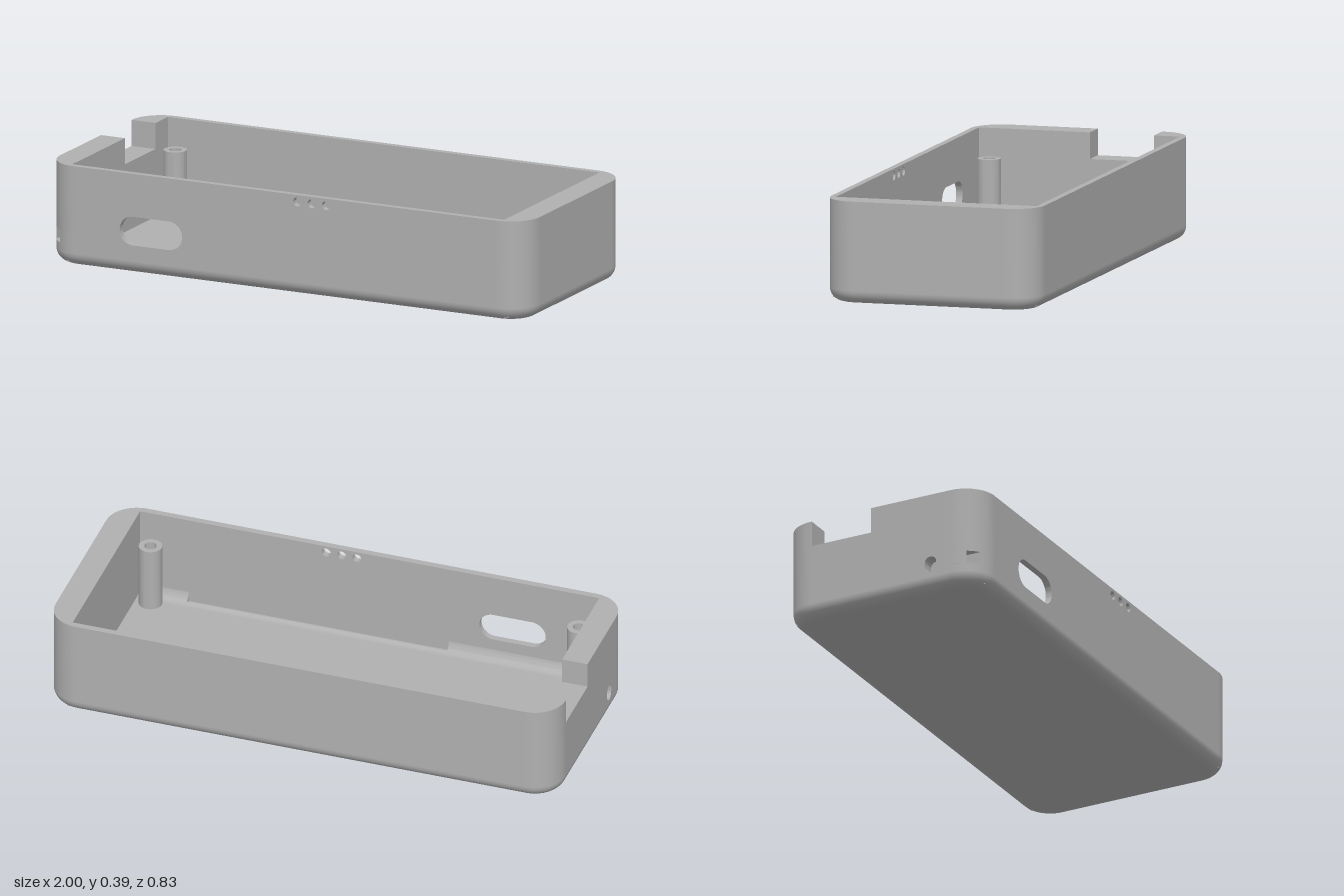
import * as THREE from 'three';
import { toCreasedNormals } from 'three/addons/utils/BufferGeometryUtils.js';

const L = 1, W = 0.415, H = 0.385;      // half length, half width, height
const R = 0.12, F = 0.05;               // corner radius, bottom edge radius
const IX = 0.9, IZ = 0.39, FLOOR = 0.025; // inner half sizes, floor level
const CX = L - R, CZ = W - R;           // corner centres

export function createModel() {
  const model = new THREE.Group();
  model.name = 'enclosureBase';
  const grey = new THREE.MeshStandardMaterial({ color: 0xb0b0b0 });
  grey.name = 'grey plastic';

  const add = (name, geo) => {
    const mesh = new THREE.Mesh(geo, grey);
    mesh.name = name;
    model.add(mesh);
    return mesh;
  };
  const extrude = (shape, depth) => toCreasedNormals(
    new THREE.ExtrudeGeometry(shape, { depth, bevelEnabled: false, curveSegments: 20 }), 0.6);
  const box = (name, x0, x1, y0, y1, z0, z1) => add(name,
    new THREE.BoxGeometry(x1 - x0, y1 - y0, z1 - z0)
      .translate((x0 + x1) / 2, (y0 + y1) / 2, (z0 + z1) / 2));
  const polygon = (pts) => new THREE.Shape(pts.map(([x, y]) => new THREE.Vector2(x, y)));
  const circle = (x, y, r) => new THREE.Path().absarc(x, y, r, 0, Math.PI * 2, true);
  // Stadium hole: half is the distance from the centre to each arc centre
  const stadium = (x, y, half, r, turned) => {
    const p = new THREE.Path();
    if (turned) {
      p.absarc(x, y + half, r, 0, Math.PI, false);
      p.absarc(x, y - half, r, Math.PI, Math.PI * 2, false);
    } else {
      p.absarc(x + half, y, r, -Math.PI / 2, Math.PI / 2, false);
      p.absarc(x - half, y, r, Math.PI / 2, Math.PI * 1.5, false);
    }
    p.closePath();
    return p;
  };

  // Long walls, the front one with the port and three small holes
  const longWall = () => polygon([[-CX, F], [CX, F], [CX, H], [-CX, H]]);
  const front = longWall();
  front.holes.push(stadium(-0.56, 0.165, 0.075, 0.055));
  for (const x of [0.05, 0.11, 0.17]) front.holes.push(circle(x, 0.358, 0.017));
  add('frontWall', extrude(front, W - IZ).translate(0, 0, IZ));
  add('backWall', extrude(longWall(), W - IZ).translate(0, 0, -W));

  // End walls; shape coordinates are (-z, y)
  const plainEnd = polygon([[-CZ, F], [CZ, F], [CZ, H], [-CZ, H]]);
  add('leftEndWall', extrude(plainEnd, L - IX).rotateY(Math.PI / 2).translate(IX, 0, 0));
  const notchedEnd = polygon([[-CZ, F], [CZ, F], [CZ, H], [0.29, H], [0.29, H - 0.1],
    [0.04, H - 0.1], [0.04, H], [-CZ, H]]);
  notchedEnd.holes.push(stadium(-0.21, 0.1, 0.008, 0.024, true));
  add('rightEndWall', extrude(notchedEnd, L - IX).rotateY(Math.PI / 2).translate(-L, 0, 0));
  box('strapHoleBack', -0.95, -IX, 0.06, 0.14, 0.17, 0.25);

  // Rounded corner posts of the wall, extruded upwards from a plan outline
  const arc = (a0, a1, n = 16) => Array.from({ length: n + 1 }, (_, i) => {
    const a = a0 + (a1 - a0) * i / n;
    return [CX + R * Math.cos(a), CZ + R * Math.sin(a)];
  });
  const corner = (name, pts, sx, sz, y0, y1) => add(name,
    extrude(polygon(pts.map(([x, z]) => [sx * x, -sz * z])), y1 - y0)
      .rotateX(-Math.PI / 2).translate(0, y0, 0));
  const inner = [[CX, IZ], [IX, IZ], [IX, CZ]];
  const full = [...arc(0, Math.PI / 2), ...inner];
  for (const [sx, sz] of [[1, 1], [1, -1], [-1, -1]]) corner('wallCorner', full, sx, sz, F, H);

  // Front right corner carries the strap slot
  const aOut = Math.acos((0.985 - CX) / R), aIn = Math.acos((0.95 - CX) / R);
  corner('wallCornerLower', full, -1, 1, F, 0.08);
  corner('wallCornerUpper', full, -1, 1, 0.13, H);
  corner('strapBar', [...arc(0, aOut), [0.985, CZ]], -1, 1, 0.08, 0.13);
  corner('strapSlotInside', [...arc(aIn, Math.PI / 2), ...inner, [0.95, CZ]], -1, 1, 0.08, 0.13);

  // Rounded underside
  add('underside', undersideGeometry());

  // Floor and the lower edge of the inside walls
  box('floor', -0.92, 0.92, 0.012, FLOOR, -0.395, 0.395);
  for (const s of [-1, 1]) {
    const a = s * IX, b = s * 0.94;
    box('endFoot', Math.min(a, b), Math.max(a, b), 0.01, F + 0.002, -0.37, 0.37);
    const c = s * IZ, d = s * 0.4;
    box('sideFoot', -IX, IX, 0.018, F + 0.002, Math.min(c, d), Math.max(c, d));
  }

  // Concave fillets along the long walls, cut short by a narrow slot
  const r = 0.04;
  const fillet = (zEnd) => {
    const pts = [];
    for (let i = 0; i <= 10; i++) {
      const z = IZ - r + (zEnd - IZ + r) * i / 10;
      pts.push([z, FLOOR + r - Math.sqrt(Math.max(0, r * r - (z - IZ + r) ** 2))]);
    }
    return [...pts, [zEnd, 0.02], [IZ - r, 0.02]];
  };
  for (const s of [-1, 1]) {
    for (const [x0, x1, zEnd] of [[-IX, -0.31, IZ], [-0.31, 0.71, 0.373], [0.71, IX, IZ]]) {
      const shape = polygon(fillet(zEnd).map(([z, y]) => [-s * z, y]));
      add('floorFillet', extrude(shape, x1 - x0).rotateY(Math.PI / 2).translate(x0, 0, 0));
    }
  }

  // Screw posts
  for (const x of [-0.84, 0.84]) for (const z of [-0.333, 0.333]) {
    const ring = new THREE.Shape().absarc(0, 0, 0.044, 0, Math.PI * 2, false);
    ring.holes.push(circle(0, 0, 0.023));
    add('screwPost', extrude(ring, 0.28 - 0.02).rotateX(-Math.PI / 2).translate(x, 0.02, z));
  }
  return model;
}

// Rounded rectangle loops that shrink towards the flat bottom
function undersideGeometry() {
  const pos = [], nor = [], index = [], rows = 10, seg = 16, n = 4 * (seg + 1);
  for (let j = 0; j <= rows; j++) {
    const t = (j / rows) * Math.PI / 2;
    const rad = R - F + F * Math.cos(t), y = F - F * Math.sin(t);
    for (let q = 0; q < 4; q++) for (let i = 0; i <= seg; i++) {
      const a = (q + i / seg) * Math.PI / 2, c = Math.cos(a), s = Math.sin(a);
      const sx = q === 0 || q === 3 ? 1 : -1, sz = q < 2 ? 1 : -1;
      pos.push(sx * CX + rad * c, y, sz * CZ + rad * s);
      nor.push(c * Math.cos(t), -Math.sin(t), s * Math.cos(t));
    }
  }
  for (let j = 0; j < rows; j++) for (let i = 0; i < n; i++) {
    const a = j * n + i, b = j * n + (i + 1) % n;
    index.push(a, b, a + n, b, b + n, a + n);
  }
  // Flat bottom
  const centre = pos.length / 3;
  pos.push(0, 0, 0);
  nor.push(0, -1, 0);
  for (let i = 0; i < n; i++) index.push(centre, rows * n + i, rows * n + (i + 1) % n);
  const g = new THREE.BufferGeometry();
  g.setAttribute('position', new THREE.Float32BufferAttribute(pos, 3));
  g.setAttribute('normal', new THREE.Float32BufferAttribute(nor, 3));
  g.setIndex(index);
  return g;
}
